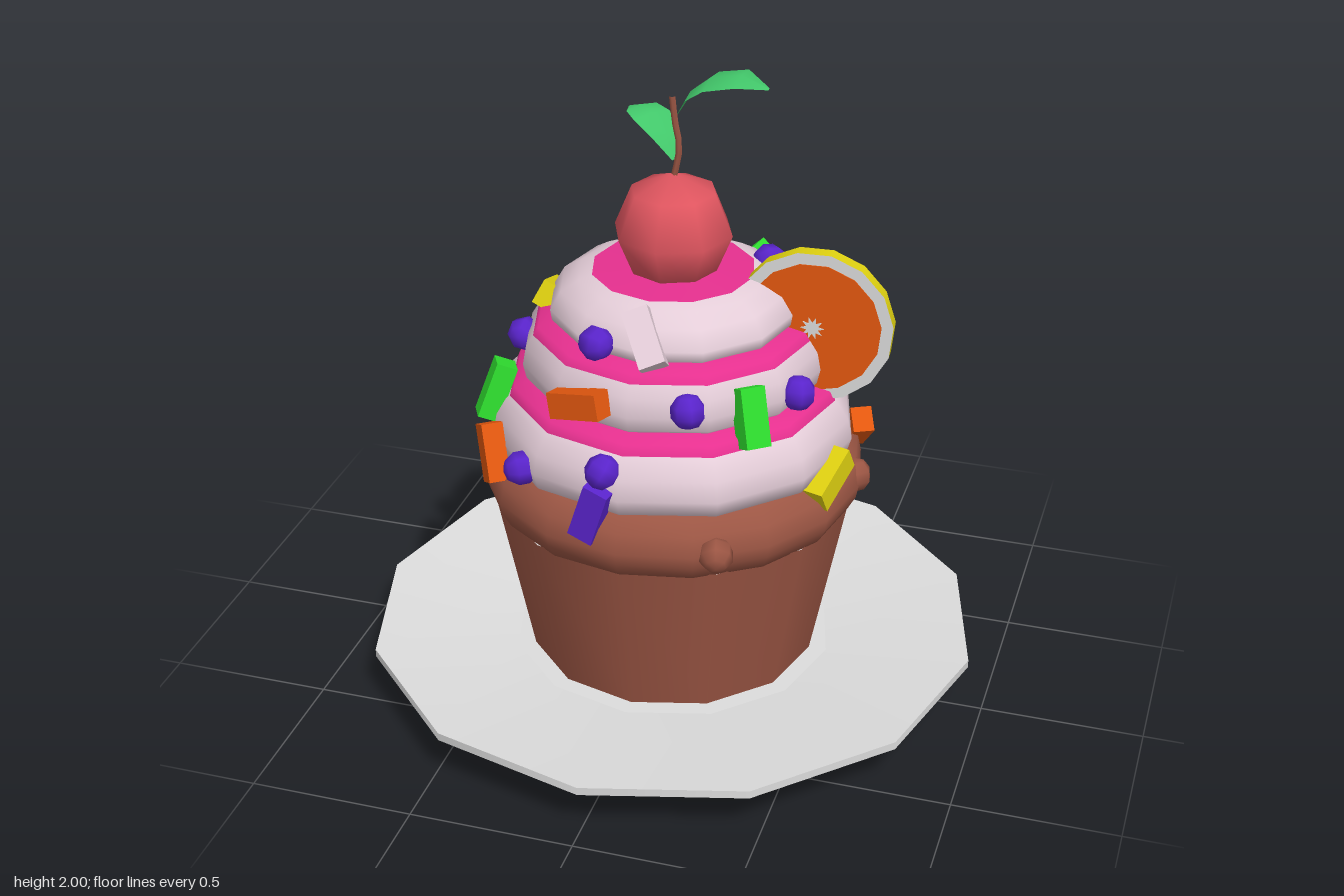
import * as THREE from 'three';

const mat = (name, color, side = THREE.FrontSide) => {
  const m = new THREE.MeshStandardMaterial({ color, side });
  m.name = name;
  return m;
};

export function createModel() {
  const root = new THREE.Group();
  root.name = 'cupcake';
  const grey = mat('porcelain', 0xdcdcdc, THREE.DoubleSide);
  const brown = mat('chocolate', 0x9c5644);
  const cream = mat('cream', 0xe4cdd8);
  const pink = mat('pinkSyrup', 0xe6308f);
  const red = mat('cherryRed', 0xdf555f);
  const leafGreen = mat('leafGreen', 0x42c76a, THREE.DoubleSide);
  const green = mat('candyGreen', 0x2edc2e);
  const purple = mat('candyPurple', 0x5a24cc);
  const orange = mat('orange', 0xe4580f);
  const yellow = mat('yellow', 0xded010);

  const add = (name, geo, material, parent = root) => {
    const m = new THREE.Mesh(geo, material);
    m.name = name;
    parent.add(m);
    return m;
  };
  const lathe = (pts, sides) =>
    new THREE.LatheGeometry(pts.map(([r, y]) => new THREE.Vector2(r, y)), sides);

  // Dished plate on a hollow foot ring, in separate bands so the edges stay crisp
  const plate = {
    plateFoot: [[0.5, 0], [0.5, 0.06]],
    plateBase: [[0, 0.06], [0.5, 0.06]],
    plateUnderside: [[0.5, 0.06], [0.95, 0.145]],
    plateEdge: [[0.95, 0.145], [0.95, 0.17]],
    plateDish: [[0.95, 0.17], [0.5, 0.122]],
    plateCentre: [[0.5, 0.122], [0, 0.122]],
  };
  for (const [name, pts] of Object.entries(plate)) add(name, lathe(pts, 12), grey);

  // Cake base and its overhanging rim
  add('cup', lathe([[0.445, 0.122], [0.55, 0.65]], 12), brown);
  add('cakeRim', lathe([[0.5, 0.645], [0.55, 0.645], [0.575, 0.69], [0.583, 0.73], [0.57, 0.79], [0.525, 0.835], [0.46, 0.85]], 16), brown);

  // Three cream tiers with syrup rings between them
  const tiers = [
    [[0.5, 0.825], [0.54, 0.84], [0.555, 0.89], [0.543, 0.95], [0.515, 0.995], [0.5, 1.01]],
    [[0.43, 1.05], [0.448, 1.065], [0.458, 1.11], [0.448, 1.165], [0.425, 1.203]],
    [[0.345, 1.235], [0.367, 1.247], [0.372, 1.28], [0.34, 1.335], [0.285, 1.368], [0.245, 1.381]],
  ];
  tiers.forEach((p, i) => add('creamTier' + (i + 1), lathe(p, 12), cream));
  [[[0.5, 1.01], [0.487, 1.04], [0.43, 1.057]],
    [[0.425, 1.203], [0.41, 1.228], [0.345, 1.244]],
    [[0.245, 1.381], [0, 1.392]]].forEach((p, i) => add('syrupRing' + (i + 1), lathe(p, 12), pink));

  // Cherry, stem and leaves
  add('cherry', new THREE.SphereGeometry(0.18, 8, 4), red).position.y = 1.5;
  const stem = new THREE.CatmullRomCurve3([[0, 1.66], [0.018, 1.76], [0.005, 1.84], [-0.003, 1.915]]
    .map(([x, y]) => new THREE.Vector3(x, y, 0)));
  add('stem', new THREE.TubeGeometry(stem, 6, 0.01, 5), brown);

  // Each leaf section is [x, y, half width], with a raised centre rib
  const leaf = (name, sections, turn) => {
    const pos = [], idx = [];
    sections.forEach(([x, y, w], i) => {
      pos.push(x, y - w * 0.15, w, x, y, 0, x, y - w * 0.15, -w);
      if (!i) return;
      for (let k = 0; k < 2; k++) {
        const a = (i - 1) * 3 + k, b = a + 3;
        idx.push(a, b, b + 1, a, b + 1, a + 1);
      }
    });
    const g = new THREE.BufferGeometry();
    g.setAttribute('position', new THREE.Float32BufferAttribute(pos, 3));
    g.setIndex(idx);
    g.computeVertexNormals();
    add(name, g, leafGreen).rotation.y = turn;
  };
  leaf('largeLeaf', [[0.01, 1.86, 0.012], [0.05, 1.935, 0.06], [0.11, 1.983, 0.085], [0.2, 2.0, 0.08], [0.28, 1.967, 0.008]], 0);
  leaf('smallLeaf', [[0, 1.72, 0.005], [0.04, 1.79, 0.045], [0.1, 1.835, 0.065], [0.15, 1.845, 0.055], [0.205, 1.825, 0.004]], 2.53);

  // Citrus slice: peel, pith, pulp and starry core
  const slice = new THREE.Group();
  slice.name = 'citrusSlice';
  slice.position.set(0.425, 1.245, -0.014);
  slice.rotation.y = 0.06;
  root.add(slice);
  const disc = (r, h, n) => new THREE.CylinderGeometry(r, r, h, n).rotateX(Math.PI / 2);
  add('peel', disc(0.24, 0.044, 15), [yellow, grey, grey], slice);
  add('pulp', disc(0.205, 0.05, 15), orange, slice);
  const star = new THREE.Shape(Array.from({ length: 20 }, (_, i) => {
    const a = i * Math.PI / 10, r = i % 2 ? 0.018 : 0.036;
    return new THREE.Vector2(r * Math.cos(a), r * Math.sin(a));
  }));
  const core = new THREE.ExtrudeGeometry(star, { depth: 0.054, bevelEnabled: false }).translate(0, 0, -0.027);
  add('core', core, grey, slice);

  // Candy bars: colour, x, y, z, spin and upward lean in degrees
  const bar = new THREE.BoxGeometry(0.175, 0.078, 0.065);
  [
    [orange, -0.15, 1.125, 0.44, 14, 5], [cream, 0.02, 1.31, 0.345, -64, 38],
    [green, 0.33, 1.1, 0.33, 86, 22], [green, -0.487, 1.01, 0.22, 97, 22],
    [purple, -0.08, 0.84, 0.545, 72, 0], [orange, -0.46, 0.86, 0.335, 115, 0],
    [yellow, 0.525, 0.84, 0.16, 28, 0], [purple, 0.41, 1.12, -0.2, 60, 8],
    [green, 0.2, 1.235, -0.37, 48, 20], [orange, 0.515, 0.79, -0.26, -42, 0],
    [yellow, 0.17, 0.84, -0.51, -38, 5], [purple, -0.11, 1.07, -0.475, -8, 20],
    [purple, -0.45, 0.84, -0.335, 45, 5], [yellow, -0.385, 1.23, -0.02, 22, 25],
  ].forEach(([m, x, y, z, spin, lean]) => {
    const b = add('candyBar', bar, m);
    b.position.set(x, y, z);
    b.rotation.set(-lean * Math.PI / 180, Math.atan2(x, z), spin * Math.PI / 180, 'YXZ');
  });

  // Candy pearls and chocolate lumps
  const pearl = new THREE.SphereGeometry(0.053, 7, 5);
  const scatter = (name, material, list) => list.forEach(([x, y, z]) => {
    const b = add(name, pearl, material);
    b.position.set(x, y, z);
    b.rotation.set(x * 5, y * 7, z * 5);
  });
  scatter('candyPearl', purple, [
    [-0.125, 1.28, 0.35], [0.17, 1.14, 0.42], [0.43, 1.115, 0.175], [-0.05, 0.97, 0.535],
    [-0.335, 0.88, 0.435], [-0.44, 1.14, 0.09], [0.25, 1.36, -0.165], [-0.23, 1.24, -0.33],
    [-0.4, 1.05, -0.265], [0.365, 0.99, -0.36],
  ]);
  scatter('chocolateLump', brown, [
    [0.28, 0.735, 0.505], [-0.56, 0.725, -0.125], [0.56, 0.745, -0.04], [-0.08, 0.83, -0.53],
  ]);
  return root;
}
